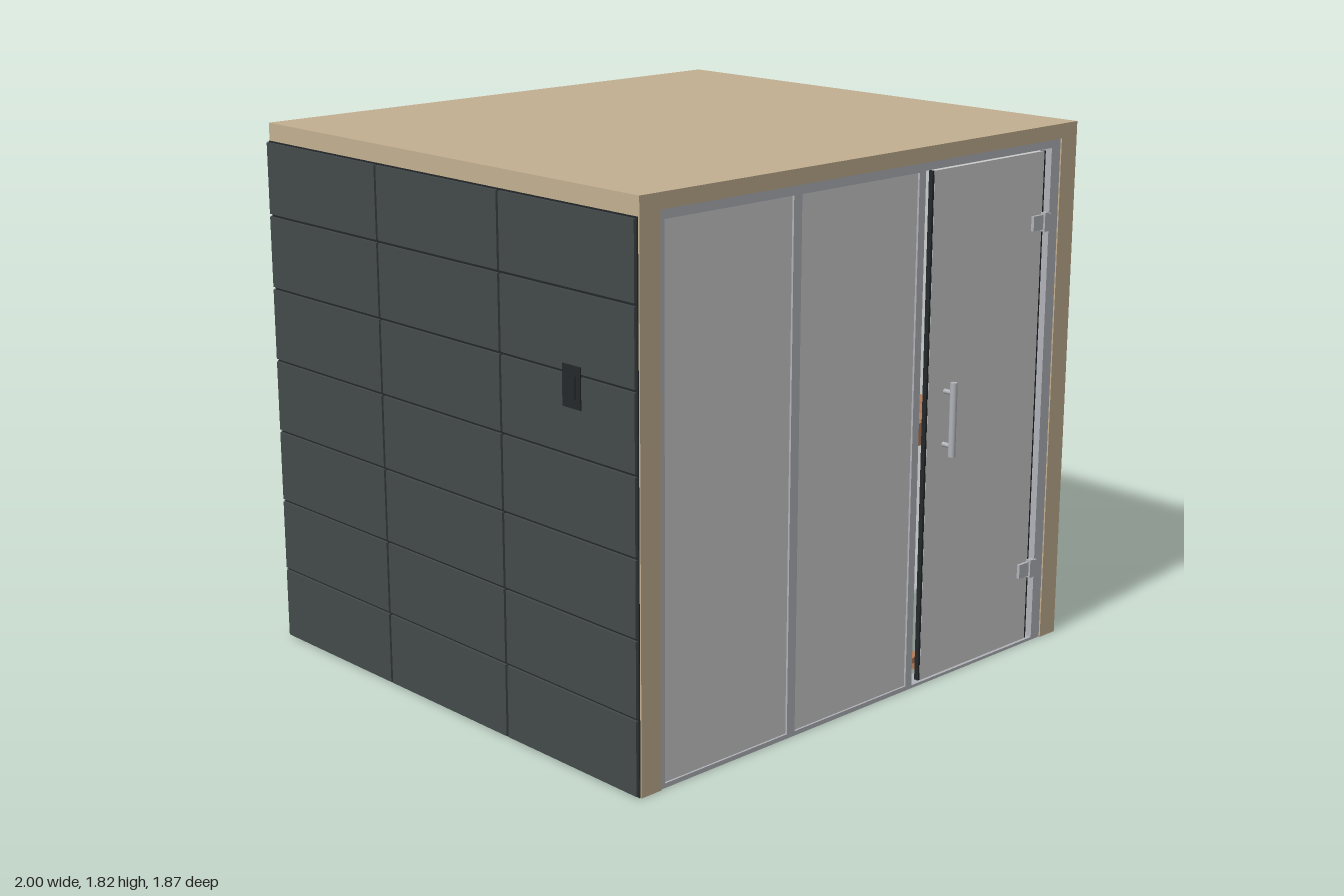
import * as THREE from 'three';

const mat = (name, color) => {
  const m = new THREE.MeshStandardMaterial({ color });
  m.name = name;
  return m;
};

export function createModel() {
  const root = new THREE.Group();
  root.name = 'saunaCabin';
  const pine = mat('palePine', 0xc3b091);
  const glass = mat('frostedGlass', 0xcbcdcc);
  const steel = mat('frameGrey', 0xb0b3b8);
  const slate = mat('slateCladding', 0x43494b);
  const black = mat('seamBlack', 0x24282a);
  const cedar = mat('benchCedar', 0xb27c5a);
  const stoveGrey = mat('stoveGrey', 0x4c5555);

  const group = (name) => {
    const g = new THREE.Group();
    g.name = name;
    root.add(g);
    return g;
  };
  // Box given by its lower and upper corner
  const box = (parent, name, m, x0, x1, y0, y1, z0, z1) => {
    const mesh = new THREE.Mesh(new THREE.BoxGeometry(x1 - x0, y1 - y0, z1 - z0), m);
    mesh.position.set((x0 + x1) / 2, (y0 + y1) / 2, (z0 + z1) / 2);
    mesh.name = name;
    parent.add(mesh);
    return mesh;
  };

  // Roof planks
  const roof = group('roof');
  const planks = 19, pw = 1.98 / planks;
  for (let i = 0; i < planks; i++)
    box(roof, 'roofPlank', pine, -0.98 + i * pw, -0.98 + (i + 1) * pw, 1.765, 1.815, -0.93, 0.89);

  // Stacked timber walls and corner post
  const walls = group('timberWalls');
  const courses = 18, ch = 1.765 / courses;
  for (let i = 0; i < courses; i++) {
    const y0 = i * ch, y1 = y0 + ch;
    box(walls, 'leftWallBoard', pine, -0.98, -0.9, y0, y1, -0.93, 0.89);
    box(walls, 'backWallBoard', pine, -0.9, 1, y0, y1, -0.93, -0.85);
    box(walls, 'cornerPostBlock', pine, 0.92, 1, y0, y1, 0.81, 0.89);
  }

  // Outer cladding tiles over a thin dark backing
  const cladding = group('cladding');
  box(cladding, 'backBacking', black, -0.98, 0.995, 0, 1.755, -0.933, -0.93);
  box(cladding, 'leftBacking', black, -0.983, -0.98, 0, 1.755, -0.93, 0.885);
  const rows = 7, rh = 1.755 / rows, gap = 0.005;
  for (let r = 0; r < rows; r++) {
    const y0 = r * rh + gap, y1 = (r + 1) * rh - gap;
    for (let c = 0; c < 4; c++) {
      const w = 1.98 / 4, x = -0.985 + c * w;
      box(cladding, 'backTile', slate, x + gap, x + w - gap, y0, y1, -0.942, -0.933);
    }
    for (let c = 0; c < 3; c++) {
      const w = 1.82 / 3, z = -0.935 + c * w;
      box(cladding, 'leftTile', slate, -0.992, -0.983, y0, y1, z + gap, z + w - gap);
    }
  }

  // Control unit on the left wall
  const control = group('controlUnit');
  box(control, 'controlPlate', black, -0.996, -0.99, 1.15, 1.28, 0.57, 0.65);
  box(control, 'controlKnob', black, -1, -0.99, 1.18, 1.25, 0.59, 0.63);

  // Front glazing: frame bars, two fixed panes
  const front = group('frontGlazing');
  const fz0 = 0.82, fz1 = 0.885;
  for (const [a, b] of [[-0.9, -0.88], [-0.355, -0.32], [0.21, 0.24], [0.875, 0.92]])
    box(front, 'frontUpright', steel, a, b, 0, 1.765, fz0, fz1);
  for (const [a, b] of [[-0.88, -0.355], [-0.32, 0.21]]) {
    box(front, 'frontTopRail', steel, a, b, 1.735, 1.765, fz0, fz1);
    box(front, 'frontSill', steel, a, b, 0, 0.015, fz0, fz1);
    box(front, 'frontPane', glass, a, b, 0.015, 1.735, 0.862, 0.878);
  }
  box(front, 'doorHeader', steel, 0.24, 0.875, 1.738, 1.765, fz0, fz1);
  box(front, 'doorSill', steel, 0.24, 0.875, 0, 0.01, fz0, fz1);

  // Door with hinges and pull handle
  const door = group('door');
  box(door, 'doorPane', glass, 0.285, 0.84, 0.015, 1.732, 0.865, 0.882);
  box(door, 'doorEdge', black, 0.277, 0.285, 0.015, 1.732, 0.865, 0.881);
  box(door, 'doorEdge', black, 0.84, 0.848, 0.015, 1.732, 0.865, 0.881);
  for (const y of [0.275, 1.495]) {
    box(door, 'hingeLeaf', steel, 0.785, 0.84, y - 0.025, y + 0.025, 0.855, 0.893);
    box(door, 'hingeKnuckle', steel, 0.835, 0.855, y - 0.032, y + 0.032, 0.855, 0.9);
    box(door, 'hingeBracket', steel, 0.855, 0.88, y - 0.025, y + 0.025, 0.855, 0.893);
  }
  const rod = (len, r) => new THREE.CylinderGeometry(r, r, len, 16);
  const handle = new THREE.Mesh(rod(0.25, 0.012), steel);
  handle.name = 'doorHandle';
  handle.position.set(0.367, 0.91, 0.92);
  door.add(handle);
  for (const y of [0.82, 1.0]) {
    const post = new THREE.Mesh(rod(0.04, 0.008), steel);
    post.name = 'handleStandoff';
    post.rotation.x = Math.PI / 2;
    post.position.set(0.367, y, 0.9);
    door.add(post);
  }

  // Right side glazing
  const side = group('sideGlazing');
  const sx0 = 0.935, sx1 = 0.995;
  for (const [a, b] of [[-0.85, -0.835], [-0.035, 0], [0.795, 0.81]])
    box(side, 'sideUpright', steel, sx0, sx1, 0, 1.765, a, b);
  for (const [a, b] of [[-0.835, -0.035], [0, 0.795]]) {
    box(side, 'sideTopRail', steel, sx0, sx1, 1.737, 1.765, a, b);
    box(side, 'sideSill', steel, sx0, sx1, 0, 0.012, a, b);
    box(side, 'sidePane', glass, 0.972, 0.988, 0.012, 1.737, a, b);
  }

  // Row of slats along x, spread over z
  const slatsX = (g, name, n, x0, x1, y0, y1, z0, z1) => {
    const p = (z1 - z0) / n;
    for (let i = 0; i < n; i++) box(g, name, cedar, x0, x1, y0, y1, z0 + i * p, z0 + (i + 0.8) * p);
  };
  const leg = (g, x, z, h) => {
    box(g, 'benchLeg', cedar, x - 0.025, x + 0.025, 0.015, h, z - 0.025, z + 0.025);
    box(g, 'legFoot', black, x - 0.02, x + 0.02, 0, 0.015, z - 0.02, z + 0.02);
  };

  // Upper bench along the back
  const upper = group('upperBackBench');
  slatsX(upper, 'upperSeatSlat', 5, -0.89, 0.46, 0.745, 0.775, -0.84, -0.4);
  box(upper, 'upperFascia', cedar, -0.89, 0.46, 0.66, 0.745, -0.42, -0.4);
  for (const x of [-0.86, -0.24, 0.41]) {
    for (const z of [-0.8, -0.39]) leg(upper, x, z, 0.745);
    box(upper, 'upperBearer', cedar, x - 0.02, x + 0.02, 0.68, 0.745, -0.8, -0.42);
  }
  for (const y of [0.94, 1.06])
    box(upper, 'backrestRail', cedar, -0.85, 0.9, y, y + 0.08, -0.83, -0.81);

  // Lower step bench
  const lower = group('lowerBench');
  slatsX(lower, 'lowerSeatSlat', 3, -0.89, 0.44, 0.37, 0.395, -0.36, -0.11);
  box(lower, 'lowerFascia', cedar, -0.89, 0.44, 0.29, 0.37, -0.135, -0.115);
  for (const x of [-0.85, -0.25, 0.41]) {
    leg(lower, x, -0.16, 0.37);
    leg(lower, x, -0.33, 0.37);
    box(lower, 'lowerBearer', cedar, x - 0.02, x + 0.02, 0.31, 0.37, -0.33, -0.16);
  }

  // Bench along the right side with an upright slat screen
  const sideBench = group('sideBench');
  const n = 5, sw = 0.45 / n;
  for (let i = 0; i < n; i++)
    box(sideBench, 'sideSeatSlat', cedar, 0.47 + i * sw, 0.47 + (i + 0.82) * sw, 0.745, 0.775, -0.84, 0.57);
  box(sideBench, 'sideEndFascia', cedar, 0.47, 0.91, 0.695, 0.745, 0.55, 0.57);
  for (const z of [0.54, 0.11, -0.31, -0.78]) {
    leg(sideBench, 0.9, z, 0.745);
    box(sideBench, 'sideBearer', cedar, 0.49, 0.9, 0.69, 0.745, z - 0.02, z + 0.02);
  }
  for (let i = 0; i < 12; i++) {
    const z = -0.34 + i * 0.0745;
    box(sideBench, 'screenSlat', cedar, 0.455, 0.475, 0.02, 0.745, z, z + 0.055);
  }
  for (const y of [0.1, 0.62]) box(sideBench, 'screenRail', cedar, 0.475, 0.495, y, y + 0.05, -0.34, 0.55);

  // Floor duckboards
  const deck = group('duckboards');
  slatsX(deck, 'deckSlat', 13, -0.28, 0.41, 0.025, 0.045, -0.07, 0.8);
  for (const x of [-0.27, 0.05, 0.37]) box(deck, 'deckBatten', cedar, x, x + 0.03, 0, 0.025, -0.07, 0.79);
  slatsX(deck, 'deckSlat', 6, -0.87, -0.29, 0.025, 0.045, -0.07, 0.32);
  for (const x of [-0.86, -0.33]) box(deck, 'deckBatten', cedar, x, x + 0.03, 0, 0.025, -0.07, 0.31);

  // Stove in the front corner
  const stove = group('stove');
  box(stove, 'stoveBody', stoveGrey, -0.87, -0.44, 0.015, 0.68, 0.34, 0.81);
  box(stove, 'stoveBase', black, -0.865, -0.445, 0, 0.015, 0.345, 0.805);
  for (const y of [0.2, 0.35, 0.5])
    box(stove, 'stoveSeam', black, -0.83, -0.48, y, y + 0.01, 0.335, 0.34);
  const rocks = new THREE.IcosahedronGeometry(0.06, 0);
  for (let i = 0; i < 16; i++) {
    const rock = new THREE.Mesh(rocks, stoveGrey);
    rock.name = 'stoveStone';
    rock.position.set(-0.8 + (i % 4) * 0.095, 0.69, 0.42 + Math.floor(i / 4) * 0.1);
    rock.rotation.set(i, i * 2, 0);
    stove.add(rock);
  }
  return root;
}
